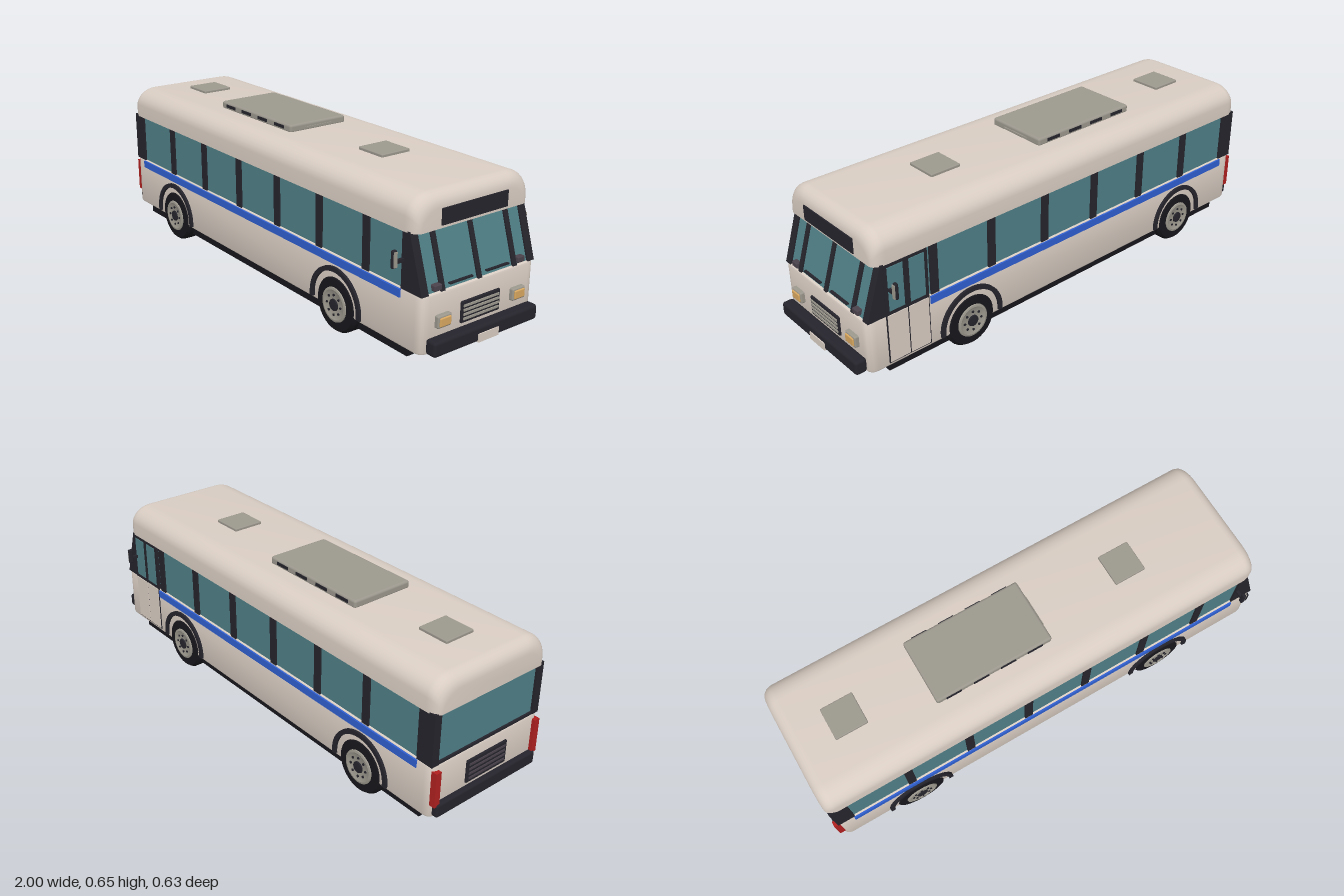
import * as THREE from 'three';
import { toCreasedNormals } from 'three/addons/utils/BufferGeometryUtils.js';
import { RoundedBoxGeometry } from 'three/addons/geometries/RoundedBoxGeometry.js';

const mat = (color) => new THREE.MeshStandardMaterial({ color });
const cream = mat(0xd9cdc3), dark = mat(0x25242c), black = mat(0x17161b), glass = mat(0x4f7f86);
const blue = mat(0x2f5fd0), grey = mat(0x9c988e), amber = mat(0xd9a860), red = mat(0xb02020), dusk = mat(0x4a424c);

export function createModel() {
  const bus = new THREE.Group();
  bus.name = 'bus';

  const add = (name, geo, m, parent = bus) => {
    const mesh = new THREE.Mesh(geo, m);
    mesh.name = name;
    parent.add(mesh);
    return mesh;
  };
  // Box given by its ranges on each axis; r rounds the edges
  const box = (name, m, [x0, x1], [y0, y1], [z0, z1], r = 0, parent = bus) => {
    const s = [x1 - x0, y1 - y0, z1 - z0];
    const geo = r ? new RoundedBoxGeometry(...s, 2, r) : new THREE.BoxGeometry(...s);
    const mesh = add(name, geo, m, parent);
    mesh.position.set((x0 + x1) / 2, (y0 + y1) / 2, (z0 + z1) / 2);
    return mesh;
  };
  // Side profile in x, y extruded between two z values
  const slab = (name, m, pts, z0, z1) => {
    const shape = new THREE.Shape(pts.map((p) => new THREE.Vector2(...p)));
    const geo = new THREE.ExtrudeGeometry(shape, { depth: z1 - z0, bevelEnabled: false });
    return add(name, geo.translate(0, 0, z0), m);
  };

  // Lower body: rounded plan pulled upwards, with a small edge chamfer
  const x0 = -0.98, x1 = 0.95, w = 0.267, r = 0.035;
  const plan = new THREE.Shape();
  plan.moveTo(x0 + r, -w).lineTo(x1 - r, -w).quadraticCurveTo(x1, -w, x1, -w + r);
  plan.lineTo(x1, w - r).quadraticCurveTo(x1, w, x1 - r, w).lineTo(x0 + r, w);
  plan.quadraticCurveTo(x0, w, x0, w - r).lineTo(x0, -w + r).quadraticCurveTo(x0, -w, x0 + r, -w);
  const lower = new THREE.ExtrudeGeometry(plan, {
    depth: 0.194, bevelThickness: 0.01, bevelSize: 0.01, bevelOffset: -0.01, bevelSegments: 2, curveSegments: 6,
  });
  lower.rotateX(-Math.PI / 2).translate(0, 0.096, 0);
  add('lowerBody', toCreasedNormals(lower, 0.6), cream);
  box('underbody', black, [-0.91, 0.857], [0.043, 0.1], [-0.24, 0.24]);

  // Roof: rounded cross-sections that shrink towards both ends
  add('roof', roofGeometry(), cream);

  // Window band with raked windscreen
  slab('windows', glass, [[-0.968, 0.295], [0.94, 0.295], [0.872, 0.51], [-0.968, 0.51]], -0.258, 0.258);
  const screenX = (y) => 0.945 - (y - 0.3) * 0.32;
  const rakedPost = (name, z0, z1, back) => slab(name, dark,
    [[back, 0.298], [screenX(0.298), 0.298], [screenX(0.505), 0.505], [back, 0.505]], z0, z1);
  rakedPost('windscreenCentrePost', -0.01, 0.01, 0.86);
  box('rearWindowSill', dark, [-0.976, -0.96], [0.298, 0.308], [-0.24, 0.24]);

  for (const s of [1, -1]) {
    const side = (a, b) => (s > 0 ? [a, b] : [-b, -a]);
    // Posts between the windows
    for (let i = 0; i < 6; i++) {
      const x = -0.65 + i * 0.262;
      box('windowPost', dark, [x - 0.017, x + 0.017], [0.298, 0.505], side(0.25, 0.265));
    }
    box('rearCornerPost', dark, [-0.977, -0.905], [0.298, 0.505], side(0.235, 0.266));
    rakedPost('frontCornerPost', ...side(0.235, 0.267), 0.845);
    rakedPost('windscreenPost', ...side(0.16, 0.181), 0.86);

    // Stripe stops at the door on the door side
    box('sideStripe', blue, [-0.91, s > 0 ? 0.845 : 0.685], [0.265, 0.295], side(0.26, 0.272));

    // Headlights, wipers and indicator boxes
    box('headlightFrame', grey, [0.94, 0.967], [0.177, 0.223], side(0.146, 0.208), 0.006);
    box('headlight', amber, [0.95, 0.972], [0.184, 0.216], side(0.152, 0.202), 0.004);
    box('windscreenLamp', dusk, [0.92, 0.95], [0.306, 0.328], side(0.18, 0.214), 0.004);
    box('wiper', dark, [0.935, 0.946], [0.313, 0.318], side(0.033, 0.14));

    // Mirrors
    box('mirrorArm', dark, [0.846, 0.858], [0.396, 0.408], side(0.25, 0.305));
    box('mirror', dark, [0.843, 0.857], [0.38, 0.444], side(0.296, 0.315), 0.005);
    box('mirrorFace', grey, [0.853, 0.861], [0.385, 0.439], side(0.299, 0.312));

    box('tailLight', red, [-0.994, -0.97], [0.14, 0.28], side(0.235, 0.259));

    // Wheels and arches
    for (const x of [-0.635, 0.505]) {
      const wheel = makeWheel(add);
      wheel.position.set(x, 0.11, s * 0.2);
      if (s < 0) wheel.rotation.y = Math.PI;
      bus.add(wheel);
      const arch = new THREE.Shape().absarc(0, 0, 0.143, -0.1, Math.PI + 0.1, false);
      arch.absarc(0, 0, 0.125, Math.PI + 0.1, -0.1, true);
      const geo = new THREE.ExtrudeGeometry(arch, { depth: 0.017, bevelEnabled: false, curveSegments: 24 });
      add('wheelArch', toCreasedNormals(geo, 0.6), dark).position.set(x, 0.112, s > 0 ? 0.26 : -0.277);
    }
  }

  // Two-leaf door
  box('doorFrame', dark, [0.69, 0.872], [0.1, 0.5], [-0.269, -0.25]);
  for (const x of [0.695, 0.784]) {
    box('doorPanel', cream, [x, x + 0.083], [0.105, 0.298], [-0.272, -0.26]);
    box('doorWindow', glass, [x + 0.01, x + 0.073], [0.315, 0.488], [-0.272, -0.26]);
  }

  // Nose: grille, bumper, plate and destination board
  box('frontGrille', dark, [0.94, 0.957], [0.16, 0.24], [-0.092, 0.092], 0.004);
  for (let i = 0; i < 4; i++) {
    const y = 0.176 + i * 0.016;
    box('grilleBar', grey, [0.95, 0.961], [y - 0.004, y + 0.004], [-0.084, 0.084]);
  }
  box('frontBumper', dark, [0.948, 0.996], [0.093, 0.15], [-0.247, 0.247], 0.012);
  box('frontPlate', cream, [0.98, 1.0], [0.094, 0.125], [-0.048, 0.048]);
  box('destinationBoard', dark, [0.88, 0.91], [0.511, 0.57], [-0.153, 0.153]);

  // Tail: bumper and engine grille
  box('rearBumper', dark, [-1.0, -0.96], [0.093, 0.148], [-0.25, 0.25], 0.01);
  box('engineGrille', dark, [-0.987, -0.97], [0.162, 0.255], [-0.1, 0.1], 0.004);
  for (let i = 0; i < 4; i++) {
    const y = 0.18 + i * 0.019;
    box('engineGrilleBar', dusk, [-0.99, -0.98], [y - 0.004, y + 0.004], [-0.09, 0.09]);
  }

  // Roof equipment
  box('airConditioner', grey, [-0.44, 0.05], [0.618, 0.652], [-0.134, 0.134], 0.01);
  for (let i = 0; i < 4; i++) {
    const x = -0.37 + i * 0.115;
    box('airVent', dark, [x - 0.032, x + 0.032], [0.631, 0.643], [-0.137, 0.137]);
  }
  box('airConditionerLip', grey, [0.04, 0.054], [0.628, 0.636], [-0.065, 0.065]);
  for (const x of [-0.755, 0.442]) box('roofHatch', grey, [x - 0.066, x + 0.066], [0.615, 0.635], [-0.066, 0.066], 0.004);

  return bus;
}

// Wheel facing +z, with its inner face at z = 0
function makeWheel(add) {
  const wheel = new THREE.Group();
  wheel.name = 'wheel';
  const lathe = (pts) => toCreasedNormals(
    new THREE.LatheGeometry(pts.map((p) => new THREE.Vector2(...p)), 32).rotateX(Math.PI / 2), 0.6);
  add('tyre', lathe([[0, 0], [0.098, 0], [0.11, 0.012], [0.11, 0.058], [0.1, 0.071], [0.066, 0.073], [0, 0.073]]), black, wheel);
  add('rim', lathe([[0.068, 0.07], [0.066, 0.077], [0.058, 0.079], [0.05, 0.075], [0, 0.075]]), grey, wheel);
  add('hub', lathe([[0.024, 0.07], [0.022, 0.08], [0, 0.082]]), dark, wheel);
  for (let i = 0; i < 8; i++) {
    const a = (i / 8) * Math.PI * 2;
    const nut = new THREE.CylinderGeometry(0.005, 0.005, 0.008, 6).rotateX(Math.PI / 2);
    add('wheelNut', nut, dark, wheel).position.set(0.039 * Math.cos(a), 0.039 * Math.sin(a), 0.075);
  }
  return wheel;
}

function roofGeometry() {
  const base = 0.5, top = 0.624, half = 0.268, corner = 0.088, round = 0.05, steps = 6, arc = 8;
  const pos = [], index = [];
  // Stations along x with the inset of each one
  const stations = [];
  for (let i = 0; i <= steps; i++) {
    const a = (i / steps) * Math.PI / 2;
    stations.push([-0.983 + round * (1 - Math.sin(a)), round * (1 - Math.cos(a))]);
  }
  const rear = stations.map(([x, d]) => [x, d]).reverse();
  const front = stations.map(([x, d]) => [-x - 0.078, d]);
  const rings = [...rear, ...front];
  for (const [x, d] of rings) {
    const h = half - d * 0.6, t = top - d;
    const ring = [[base, h]];
    for (let j = 0; j <= arc; j++) {
      const a = (j / arc) * Math.PI / 2;
      ring.push([t - corner * 0.8 * (1 - Math.sin(a)), h - corner * (1 - Math.cos(a))]);
    }
    const whole = [...ring, ...ring.map(([y, z]) => [y, -z]).reverse()];
    for (const [y, z] of whole) pos.push(x, y, z);
  }
  const n = 2 * (arc + 2), last = (rings.length - 1) * n;
  // Flat ends close on a centre point
  const c0 = pos.length / 3;
  pos.push(rings[0][0], 0.54, 0, rings[rings.length - 1][0], 0.54, 0);
  for (let j = 0; j < n; j++) {
    const k = (j + 1) % n;
    for (let i = 0; i < last; i += n) index.push(i + j, i + n + j, i + n + k, i + j, i + n + k, i + k);
    index.push(c0, j, k, c0 + 1, last + k, last + j);
  }
  // Rings run rear to front, so shift each end cap outwards of its neighbours
  const geo = new THREE.BufferGeometry();
  geo.setAttribute('position', new THREE.Float32BufferAttribute(pos, 3));
  geo.setIndex(index);
  return toCreasedNormals(geo, 0.7);
}
